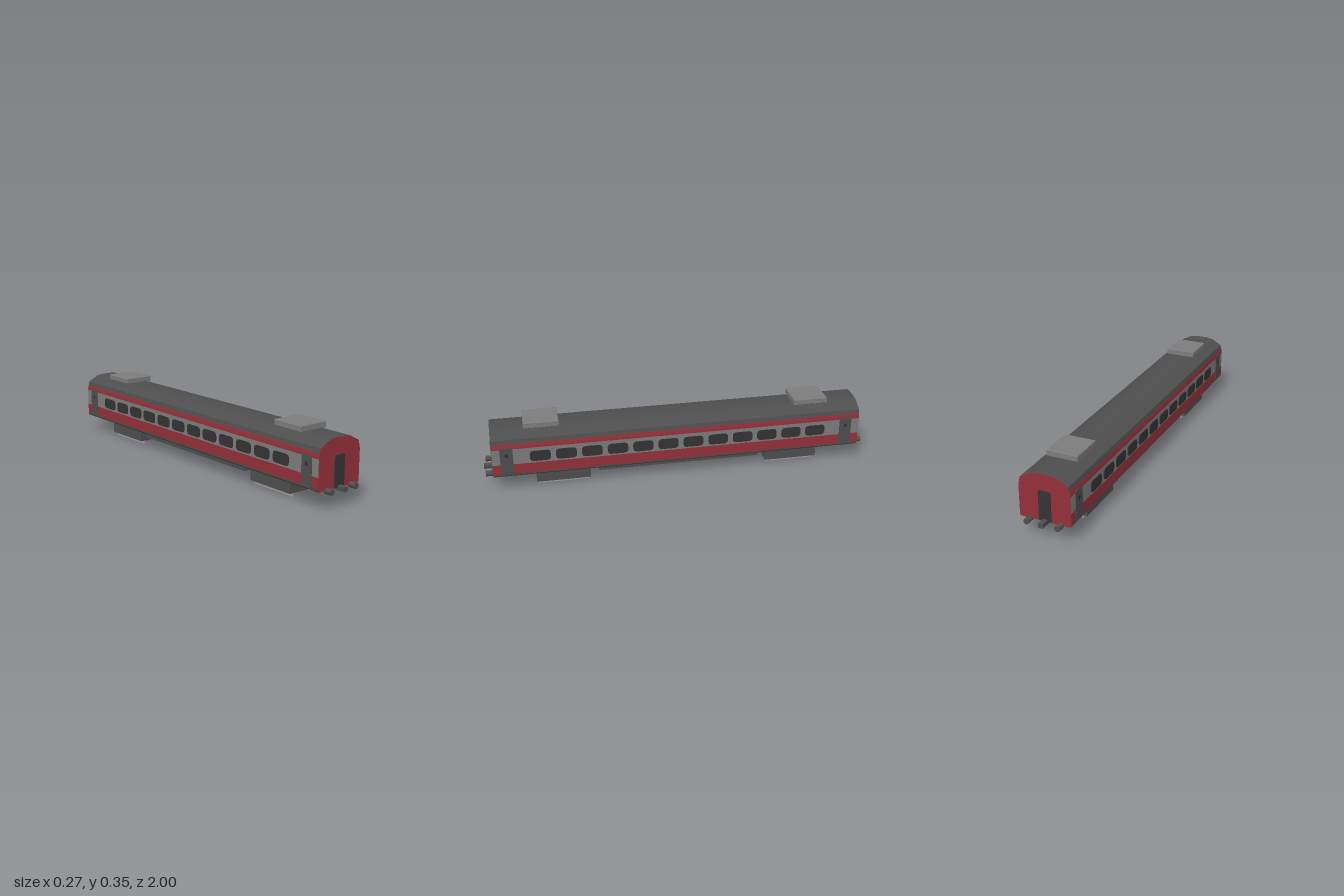
import * as THREE from 'three';
import { toCreasedNormals } from 'three/addons/utils/BufferGeometryUtils.js';

const paint = (name, color) => {
  const m = new THREE.MeshStandardMaterial({ color });
  m.name = name;
  return m;
};

export function createModel() {
  const red = paint('red', 0x942f39);
  const dark = paint('dark grey', 0x4e4e4e);
  const grey = paint('mid grey', 0x7c7c7c);
  const light = paint('light grey', 0x9c9c9c);
  const black = paint('near black', 0x333333);

  const model = new THREE.Group();
  model.name = 'railwayCoach';
  const L = 0.955; // half length of the body
  const W = 0.131; // half width of the body

  const add = (name, geometry, material, x = 0, y = 0, z = 0, ry = 0) => {
    const mesh = new THREE.Mesh(geometry, material);
    mesh.name = name;
    mesh.position.set(x, y, z);
    mesh.rotation.y = ry;
    model.add(mesh);
    return mesh;
  };
  const box = (name, material, w, h, d, x, y, z) =>
    add(name, new THREE.BoxGeometry(w, h, d), material, x, y, z);

  // Lengthwise skin following section points, anticlockwise seen from the front
  const skin = (name, pts, material) => {
    const pos = [];
    for (let i = 0; i < pts.length - 1; i++) {
      const [p, q] = [pts[i], pts[i + 1]];
      const a = [...p, L], b = [...p, -L], c = [...q, -L], d = [...q, L];
      pos.push(...a, ...b, ...c, ...a, ...c, ...d);
    }
    const g = new THREE.BufferGeometry();
    g.setAttribute('position', new THREE.Float32BufferAttribute(pos, 3));
    g.computeVertexNormals();
    add(name, toCreasedNormals(g, 0.6), material);
  };
  const flip = pts => pts.map(([x, y]) => [-x, y]).reverse();

  // Body shell: painted bands on the sides, roof and floor
  const roof = [[0.1263, 0.267], [0.121, 0.288], [0.065, 0.318], [0.03, 0.323]];
  const bands = [
    ['sill', dark, [[0.125, 0.087], [W, 0.094], [W, 0.101]]],
    ['lowerSide', red, [[W, 0.101], [W, 0.155]]],
    ['windowBand', grey, [[W, 0.155], [W, 0.24]]],
    ['upperSide', red, [[W, 0.24], [W, 0.248], [0.1263, 0.267]]],
  ];
  for (const [name, material, pts] of bands) {
    skin(name + 'Left', pts, material);
    skin(name + 'Right', flip(pts), material);
  }
  skin('roof', [...roof, ...flip(roof)], dark);
  skin('floor', [[-0.125, 0.087], [0.125, 0.087]], red);

  // End walls
  const half = [[0.125, 0.087], [W, 0.094], [W, 0.248], ...roof];
  const section = new THREE.Shape([...half, ...flip(half)].map(p => new THREE.Vector2(...p)));

  // Thin plate with cut or rounded corners
  const plate = (w, h, r, depth = 0.004) => {
    const s = new THREE.Shape(), x = w / 2, y = h / 2;
    s.moveTo(-x + r, -y).lineTo(x - r, -y).quadraticCurveTo(x, -y, x, -y + r);
    s.lineTo(x, y - r).quadraticCurveTo(x, y, x - r, y);
    s.lineTo(-x + r, y).quadraticCurveTo(-x, y, -x, y - r);
    s.lineTo(-x, -y + r).quadraticCurveTo(-x, -y, -x + r, -y);
    return new THREE.ExtrudeGeometry(s, { depth, bevelEnabled: false, curveSegments: 4 });
  };

  // Gangway door outline
  const doorway = new THREE.Shape([
    [-0.031, 0.09], [0.031, 0.09], [0.031, 0.234], [0.025, 0.242], [-0.025, 0.242], [-0.031, 0.234],
  ].map(p => new THREE.Vector2(...p)));
  const doorwayGeo = new THREE.ExtrudeGeometry(doorway, { depth: 0.004, bevelEnabled: false });

  // Side windows and passenger doors
  const windowGeo = plate(0.104, 0.056, 0.02);
  const doorGeo = plate(0.064, 0.146, 0.006, 0.003);
  const doorLightGeo = plate(0.016, 0.02, 0.006);
  for (const side of [1, -1]) {
    const turn = side * Math.PI / 2;
    for (let i = 0; i < 12; i++) {
      add('window', windowGeo, black, side * W, 0.193, (i - 5.5) * 0.13, turn);
    }
    for (const end of [1, -1]) {
      add('passengerDoor', doorGeo, dark, side * W, 0.175, end * 0.882, turn);
      add('doorLight', doorLightGeo, black, side * W, 0.206, end * 0.882, turn);
    }
  }

  // Rooftop unit with a small chamfer
  const unitGeo = new THREE.ExtrudeGeometry(
    new THREE.Shape([[-0.077, -0.086], [0.077, -0.086], [0.077, 0.086], [-0.077, 0.086]]
      .map(p => new THREE.Vector2(...p))),
    { depth: 0.025, bevelThickness: 0.003, bevelSize: 0.003, bevelSegments: 1 });
  unitGeo.rotateX(-Math.PI / 2);
  const bufferGeo = new THREE.CylinderGeometry(0.0145, 0.0145, 0.04, 12).rotateX(Math.PI / 2);

  // Everything repeated at both ends
  for (const end of [1, -1]) {
    const turn = end > 0 ? 0 : Math.PI;
    add('endWall', new THREE.ShapeGeometry(section), red, 0, 0, end * L, turn);
    add('gangwayDoor', doorwayGeo, black, 0, 0, end * L, turn);
    add('roofUnit', unitGeo, grey, 0, 0.323, end * 0.7);
    box('coupler', dark, 0.024, 0.022, 0.06, 0, 0.088, end * 0.97);

    // Bogie with pivot and running strips
    box('bogie', dark, 0.187, 0.056, 0.276, 0, 0.047, end * 0.602);
    box('bogiePivot', grey, 0.13, 0.012, 0.1, 0, 0.081, end * 0.602);
    for (const side of [1, -1]) {
      add('buffer', bufferGeo, dark, side * 0.078, 0.087, end * 0.972);
      box('wheelStrip', light, 0.009, 0.022, 0.264, side * 0.068, 0.011, end * 0.602);
    }
  }

  // Equipment box under the floor
  box('underfloorBox', dark, 0.187, 0.034, 0.84, 0, 0.071, 0);

  return model;
}
